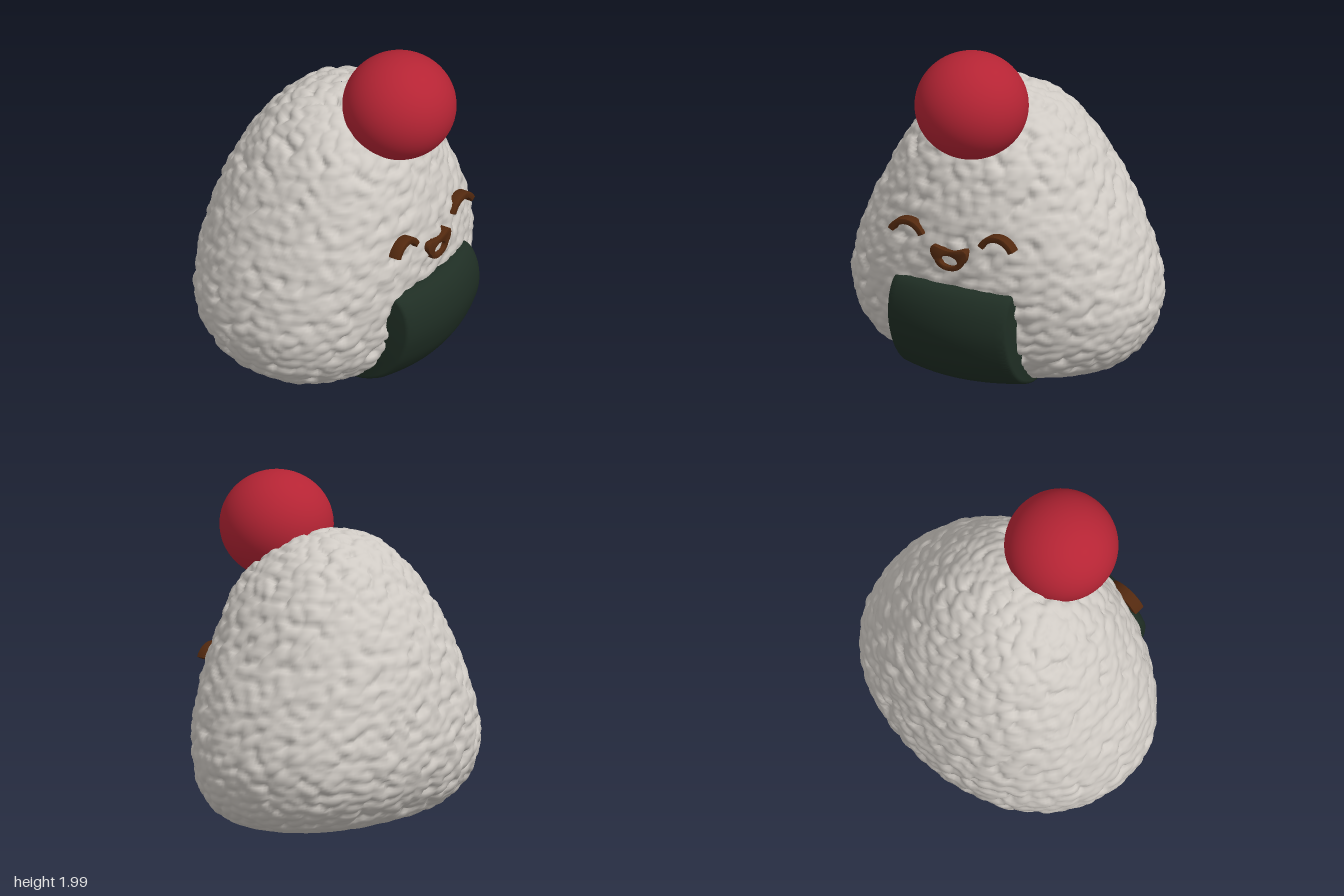
import * as THREE from 'three';
import { toCreasedNormals } from 'three/addons/utils/BufferGeometryUtils.js';

const mat = (name, color) => {
  const m = new THREE.MeshStandardMaterial({ color });
  m.name = name;
  return m;
};

function seeded(seed) {
  return () => {
    seed = (seed * 1664525 + 1013904223) % 4294967296;
    return seed / 4294967296;
  };
}

// Body sections: [height, extent to -x, extent to +x, half width in z]
const SECTIONS = [
  [0.015, 0.001, 0.001, 0.001], [0.015, 0.15, 0.15, 0.24], [0.02, 0.29, 0.28, 0.46],
  [0.045, 0.43, 0.39, 0.62], [0.1, 0.56, 0.47, 0.74], [0.2, 0.67, 0.545, 0.85],
  [0.32, 0.74, 0.59, 0.905], [0.46, 0.77, 0.62, 0.925], [0.62, 0.762, 0.64, 0.895],
  [0.8, 0.73, 0.643, 0.835], [1.0, 0.68, 0.62, 0.745], [1.2, 0.6, 0.57, 0.64],
  [1.38, 0.495, 0.505, 0.535], [1.52, 0.39, 0.39, 0.425], [1.62, 0.27, 0.25, 0.3],
  [1.68, 0.14, 0.13, 0.15], [1.7, 0.001, 0.001, 0.001],
];

const extents = new THREE.CatmullRomCurve3(
  SECTIONS.map(([, back, front, side]) => new THREE.Vector3(back, side, front)), false, 'catmullrom', 0.5);
const heights = new THREE.CatmullRomCurve3(
  SECTIONS.map(([y]) => new THREE.Vector3(0, y, 0)), false, 'catmullrom', 0.5);

// Point on the smooth body, t from bottom to top, a around it
function bodyPoint(t, a) {
  const e = extents.getPoint(t), c = Math.cos(a), s = Math.sin(a);
  const r = 1 / Math.pow(Math.abs(c) ** 2.2 + Math.abs(s) ** 2.2, 1 / 2.2);
  return new THREE.Vector3(r * c * (c > 0 ? e.z : e.x), heights.getPoint(t).y, r * s * e.y);
}

// Rice grains scattered in jittered rings, lying mostly sideways
function scatterGrains() {
  const rnd = seeded(17), grains = [];
  let last = bodyPoint(0, Math.PI / 2), travelled = 0;
  for (let k = 1; k <= 800; k++) {
    const t = k / 800, p = bodyPoint(t, Math.PI / 2);
    travelled += p.distanceTo(last);
    last = p;
    if (travelled < 0.062) continue;
    travelled = 0;
    const e = extents.getPoint(t);
    const count = Math.max(3, Math.round(Math.PI * (e.y + (e.x + e.z) / 2) / 0.1));
    const phase = rnd();
    for (let j = 0; j < count; j++) {
      const a = ((j + phase + (rnd() - 0.5) * 0.6) / count) * Math.PI * 2;
      const tj = THREE.MathUtils.clamp(t + (rnd() - 0.5) * 0.016, 0, 1);
      const c = bodyPoint(tj, a);
      const along = bodyPoint(tj, a + 0.02).sub(c).normalize();
      const up = bodyPoint(Math.min(tj + 0.01, 1), a).sub(c).normalize();
      const tilt = (rnd() - 0.5) * 1.7;
      const dir = along.multiplyScalar(Math.cos(tilt)).addScaledVector(up, Math.sin(tilt)).normalize();
      grains.push({ c, dir, lift: 0.8 + rnd() * 0.35 });
    }
  }
  return grains;
}

function riceGeometry() {
  const rows = 160, cols = 240, pos = [], index = [];
  for (let i = 0; i <= rows; i++)
    for (let j = 0; j < cols; j++) pos.push(...bodyPoint(i / rows, (j / cols) * Math.PI * 2).toArray());
  for (let i = 0; i < rows; i++)
    for (let j = 0; j < cols; j++) {
      const a = i * cols + j, b = i * cols + ((j + 1) % cols);
      index.push(a, a + cols, b, b, a + cols, b + cols);
    }
  const geo = new THREE.BufferGeometry();
  geo.setAttribute('position', new THREE.Float32BufferAttribute(pos, 3));
  geo.setIndex(index);
  geo.computeVertexNormals();

  // Raise each vertex to the highest grain over it
  const grains = scatterGrains(), P = geo.attributes.position, N = geo.attributes.normal;
  const long = 0.08, wide = 0.046, squeeze = 1 - (wide / long) ** 2;
  for (let v = 0; v < P.count; v++) {
    const x = P.getX(v), y = P.getY(v), z = P.getZ(v);
    let h = 0;
    for (const { c, dir, lift } of grains) {
      const dx = x - c.x, dy = y - c.y, dz = z - c.z;
      const d2 = dx * dx + dy * dy + dz * dz;
      if (d2 > long * long) continue;
      const l = dx * dir.x + dy * dir.y + dz * dir.z;
      const q = (d2 - l * l * squeeze) / (wide * wide);
      if (q < 1) h = Math.max(h, lift * Math.sqrt(1 - q));
    }
    const ny = N.getY(v);
    const fade = THREE.MathUtils.smoothstep(ny, -1, -0.75) * 0.85 + 0.15;
    const d = (h * 0.034 - 0.02) * fade;
    P.setXYZ(v, x + N.getX(v) * d, Math.max(0.005, y + ny * d), z + N.getZ(v) * d);
  }
  geo.computeVertexNormals();
  return geo;
}

// Curved seaweed sheet: side profile extruded across z, bowed at its ends
function seaweedGeometry() {
  const shape = new THREE.Shape();
  shape.moveTo(0.32, 0.05);
  shape.splineThru([[0.43, 0.025], [0.58, 0.08], [0.68, 0.19], [0.735, 0.31], [0.757, 0.42],
    [0.747, 0.53], [0.71, 0.61], [0.66, 0.638], [0.6, 0.615]].map(([x, y]) => new THREE.Vector2(x, y)));
  shape.lineTo(0.46, 0.52);
  shape.closePath();
  const geo = new THREE.ExtrudeGeometry(shape, {
    depth: 0.74, steps: 20, curveSegments: 40,
    bevelEnabled: true, bevelThickness: 0.02, bevelSize: 0.018, bevelSegments: 3,
  });
  geo.translate(0, 0, -0.37);
  const P = geo.attributes.position;
  for (let v = 0; v < P.count; v++) {
    const z = P.getZ(v), y = P.getY(v);
    P.setX(v, P.getX(v) - 0.5 * z * z);
    P.setY(v, 0.33 + (y - 0.33) * (1 - 0.35 * z * z));
  }
  return toCreasedNormals(geo, 0.7);
}

// Face pieces are drawn flat, then turned to look along +x
function faceGeometry(shape, depth) {
  const geo = new THREE.ExtrudeGeometry(shape, {
    depth: depth - 0.012, curveSegments: 20,
    bevelEnabled: true, bevelThickness: 0.006, bevelSize: 0.006, bevelSegments: 2,
  });
  geo.rotateY(Math.PI / 2);
  return toCreasedNormals(geo, 0.7);
}

function eyeShape() {
  const s = new THREE.Shape(), mid = Math.PI / 2, half = 1.1;
  s.absarc(0, 0, 0.122, mid - half, mid + half, false);
  s.absarc(0, 0, 0.098, mid + half, mid - half, true);
  s.closePath();
  return s;
}

function mouthShape() {
  const s = new THREE.Shape();
  s.moveTo(0, 0.868);
  s.bezierCurveTo(-0.05, 0.868, -0.07, 0.885, -0.1, 0.885);
  s.bezierCurveTo(-0.125, 0.875, -0.118, 0.83, -0.085, 0.805);
  s.bezierCurveTo(-0.07, 0.74, 0.07, 0.74, 0.085, 0.805);
  s.bezierCurveTo(0.118, 0.83, 0.125, 0.875, 0.1, 0.885);
  s.bezierCurveTo(0.07, 0.885, 0.05, 0.868, 0, 0.868);
  const hole = new THREE.Path();
  hole.absellipse(0, 0.81, 0.063, 0.037, 0, Math.PI * 2, true);
  s.holes.push(hole);
  return s;
}

export function createModel() {
  const group = new THREE.Group();
  const rice = mat('rice white', 0xcfcac4);
  const red = mat('plum red', 0xb52434);
  const green = mat('seaweed green', 0x1f2e24);
  const brown = mat('face brown', 0x53290f);
  const add = (name, geo, material, x = 0, y = 0, z = 0) => {
    const m = new THREE.Mesh(geo, material);
    m.name = name;
    m.position.set(x, y, z);
    group.add(m);
    return m;
  };

  add('riceBody', riceGeometry(), rice);
  add('seaweedSheet', seaweedGeometry(), green);

  // Plum on top, leaning over the face
  add('plum', new THREE.SphereGeometry(0.33, 64, 40), red, 0.396, 1.686, 0).scale.set(1, 0.952, 1);

  // Smiling face
  const eye = faceGeometry(eyeShape(), 0.07);
  add('leftEye', eye, brown, 0.588, 0.88, -0.297);
  add('rightEye', eye, brown, 0.588, 0.88, 0.297);
  add('mouth', faceGeometry(mouthShape(), 0.07), brown, 0.612, 0, 0);
  return group;
}
